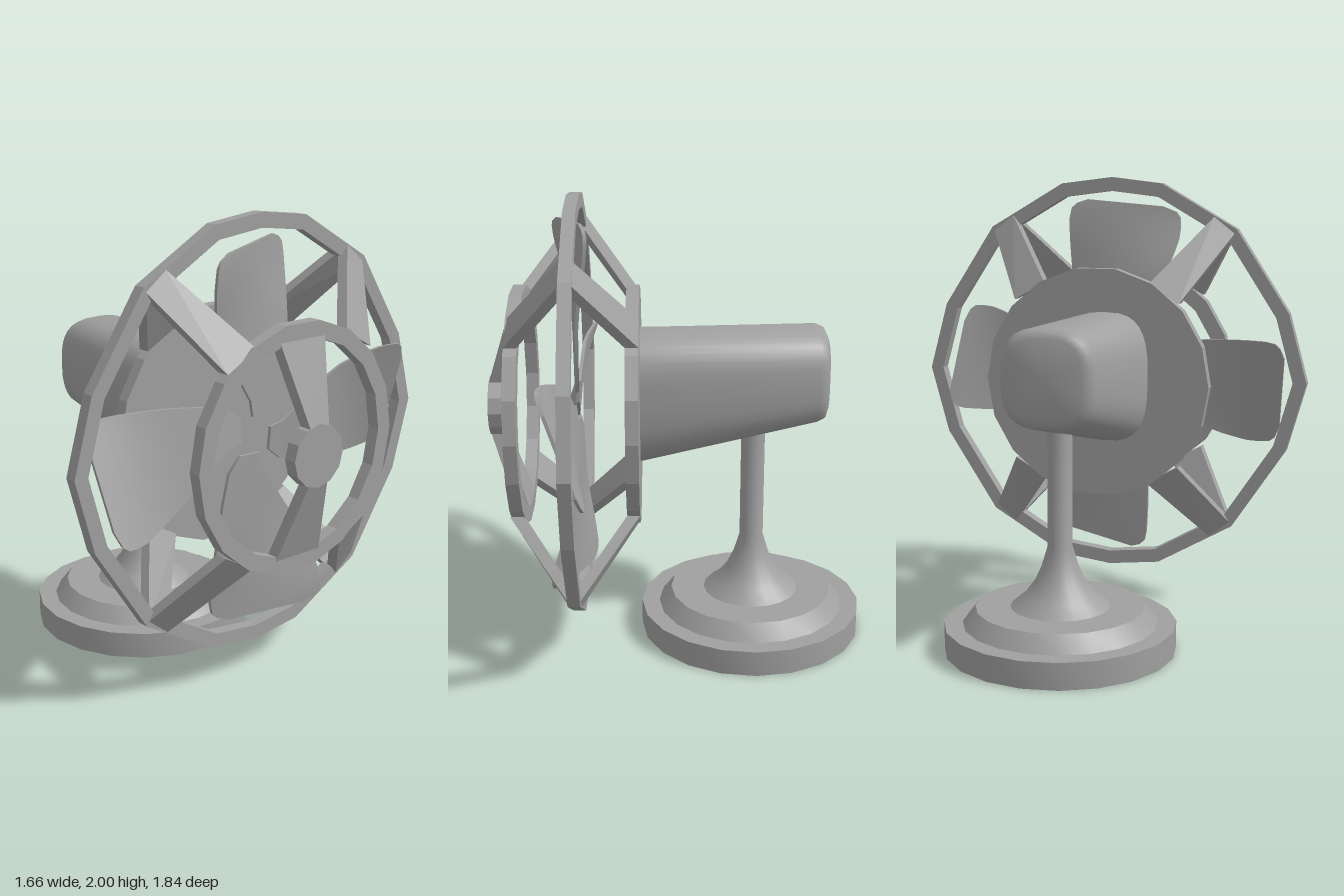
import * as THREE from 'three';
import { toCreasedNormals } from 'three/addons/utils/BufferGeometryUtils.js';
import { ConvexGeometry } from 'three/addons/geometries/ConvexGeometry.js';

const material = new THREE.MeshStandardMaterial({ color: 0xa0a0a0 });
const AXIS_Y = 1.078; // height of the fan axis

function addMesh(parent, name, geometry) {
  const mesh = new THREE.Mesh(geometry, material);
  mesh.name = name;
  parent.add(mesh);
  return mesh;
}

// Mirror the points of one quadrant (first point on u, last on v) into a closed outline
function mirrorQuadrant(points, scale = 1) {
  const q = points.map(([u, v]) => new THREE.Vector2(u * scale, v * scale));
  const half = [...q, ...q.slice(0, -1).reverse().map(p => new THREE.Vector2(-p.x, p.y))];
  return [...half, ...half.slice(1, -1).reverse().map(p => new THREE.Vector2(p.x, -p.y))];
}

// Regular polygon outline with a corner on the u axis
function polygon(radius, sides) {
  return Array.from({ length: sides }, (_, i) => {
    const a = i / sides * Math.PI * 2;
    return new THREE.Vector2(Math.cos(a) * radius, Math.sin(a) * radius);
  });
}

// Extrude an outline along the fan axis, from x0 to x1
function plate(outline, hole, x0, x1) {
  const shape = new THREE.Shape(outline);
  if (hole) shape.holes.push(new THREE.Path(hole));
  const geometry = new THREE.ExtrudeGeometry(shape, { depth: x1 - x0, bevelEnabled: false });
  return geometry.translate(0, 0, x0).rotateY(Math.PI / 2);
}

// Bar between two edges [z, y]; each edge spans its own range of x
function bar(edgeA, rangeA, edgeB, rangeB) {
  const corners = [];
  for (const [edge, range] of [[edgeA, rangeA], [edgeB, rangeB]])
    for (const [z, y] of edge)
      for (const x of range) corners.push(new THREE.Vector3(x, y, z));
  return new ConvexGeometry(corners);
}

// Motor housing: rounded sections along x, closed by a fan at each end
function housingGeometry() {
  const sections = [ // x, bottom, top, half width
    [-0.65, 1.045, 1.375, 0.155], [-0.638, 1.015, 1.4, 0.185],
    [-0.605, 1.0, 1.413, 0.202], [0.18, 0.812, 1.402, 0.202],
  ];
  const n = 32, positions = [], index = [];
  const round = c => Math.sign(c) * Math.pow(Math.abs(c), 0.68);
  for (const [x, bottom, top, halfWidth] of sections)
    for (let i = 0; i < n; i++) {
      const a = i / n * Math.PI * 2;
      positions.push(x, (top + bottom) / 2 + round(Math.sin(a)) * (top - bottom) / 2,
        0.045 + round(Math.cos(a)) * halfWidth);
    }
  const last = sections.length - 1;
  for (let s = 0; s < last; s++)
    for (let i = 0; i < n; i++) {
      const a = s * n + i, b = s * n + (i + 1) % n;
      index.push(a, a + n, b, b, a + n, b + n);
    }
  for (const s of [0, last]) {
    const centre = positions.length / 3;
    positions.push(sections[s][0], (sections[s][1] + sections[s][2]) / 2, 0.045);
    for (let i = 0; i < n; i++) {
      const a = s * n + i, b = s * n + (i + 1) % n;
      if (s === 0) index.push(centre, a, b);
      else index.push(centre, b, a);
    }
  }
  const geometry = new THREE.BufferGeometry();
  geometry.setAttribute('position', new THREE.Float32BufferAttribute(positions, 3));
  geometry.setIndex(index);
  return toCreasedNormals(geometry, 0.9);
}

// Blade pointing up: rows across its width, twisted more steeply towards the tip
function bladeGeometry(angle) {
  const rows = [ // distance from the axis, one side, other side
    [0.08, -0.02, 0.08], [0.15, -0.035, 0.135], [0.29, -0.13, 0.165], [0.38, -0.19, 0.178],
    [0.46, -0.235, 0.187], [0.53, -0.26, 0.19], [0.6, -0.28, 0.192], [0.66, -0.295, 0.192],
    [0.72, -0.3, 0.19], [0.765, -0.298, 0.18], [0.79, -0.28, 0.155], [0.81, -0.22, 0.11],
  ];
  const geometry = new THREE.BoxGeometry(1, 1, 0.015, 6, rows.length - 1, 1);
  const p = geometry.attributes.position;
  for (let i = 0; i < p.count; i++) {
    const [r, t0, t1] = rows[Math.round((p.getY(i) + 0.5) * (rows.length - 1))];
    const t = THREE.MathUtils.lerp(t0, t1, p.getX(i) + 0.5);
    const k = THREE.MathUtils.smoothstep(r, 0.35, 0.8);
    p.setXYZ(i, t, r + 0.1 * t * k, 0.45 + p.getZ(i) - t * (0.1 + 0.25 * k));
  }
  geometry.computeVertexNormals();
  return geometry.rotateZ(angle).rotateY(Math.PI / 2);
}

export function createModel() {
  const model = new THREE.Group();
  model.name = 'deskFan';

  // Stepped round foot, flared neck and pole
  const profile = [
    [0, 0], [0.5, 0], [0.5, 0.115], [0.42, 0.115], [0.365, 0.185], [0.215, 0.185],
    [0.155, 0.235], [0.11, 0.295], [0.08, 0.36], [0.053, 0.45], [0.053, 1.02], [0, 1.02],
  ].map(p => new THREE.Vector2(...p));
  const stand = addMesh(model, 'stand', toCreasedNormals(new THREE.LatheGeometry(profile, 20), 0.5));
  stand.position.x = -0.33;

  addMesh(model, 'motorHousing', housingGeometry());

  const head = new THREE.Group();
  head.name = 'fanHead';
  head.position.y = AXIS_Y;
  model.add(head);

  // Cage: back plate, wide middle ring, front ring
  const small = polygon(0.525, 18);
  const large = [[0.922, 0], [0.835, 0.315], [0.59, 0.69], [0.24, 0.893], [0, 0.922]];
  addMesh(head, 'backPlate', plate(small, null, 0.17, 0.225));
  addMesh(head, 'frontRing', plate(small, polygon(0.455, 18), 0.662, 0.718));
  addMesh(head, 'middleRing', plate(mirrorQuadrant(large), mirrorQuadrant(large, 0.932), 0.418, 0.472));

  // Struts from both small rings out to the middle ring
  for (const sz of [1, -1])
    for (const sy of [1, -1])
      for (const [name, range] of [['rearStrut', [0.17, 0.225]], ['frontStrut', [0.662, 0.718]]]) {
        const inner = [[0.243 * sz, 0.45 * sy], [0.386 * sz, 0.37 * sy]];
        const outer = [[0.485 * sz, 0.745 * sy], [0.58 * sz, 0.67 * sy]];
        addMesh(head, name, bar(inner, range, outer, [0.418, 0.472]));
      }

  // Front cap disc held by two tapered spokes
  const cap = addMesh(head, 'centreCap', toCreasedNormals(new THREE.CylinderGeometry(0.132, 0.132, 0.057, 12), 0.3));
  cap.rotation.z = Math.PI / 2;
  cap.position.x = 0.798;
  for (const s of [1, -1])
    addMesh(head, 'capSpoke', bar(
      [[0.12, 0.452 * s], [-0.12, 0.452 * s]], [0.662, 0.718],
      [[0.05, 0.115 * s], [-0.05, 0.115 * s]], [0.77, 0.826]));

  // Four twisted blades
  const blades = new THREE.Group();
  blades.name = 'blades';
  head.add(blades);
  for (let i = 0; i < 4; i++) addMesh(blades, 'blade', bladeGeometry(i * Math.PI / 2));

  return model;
}
